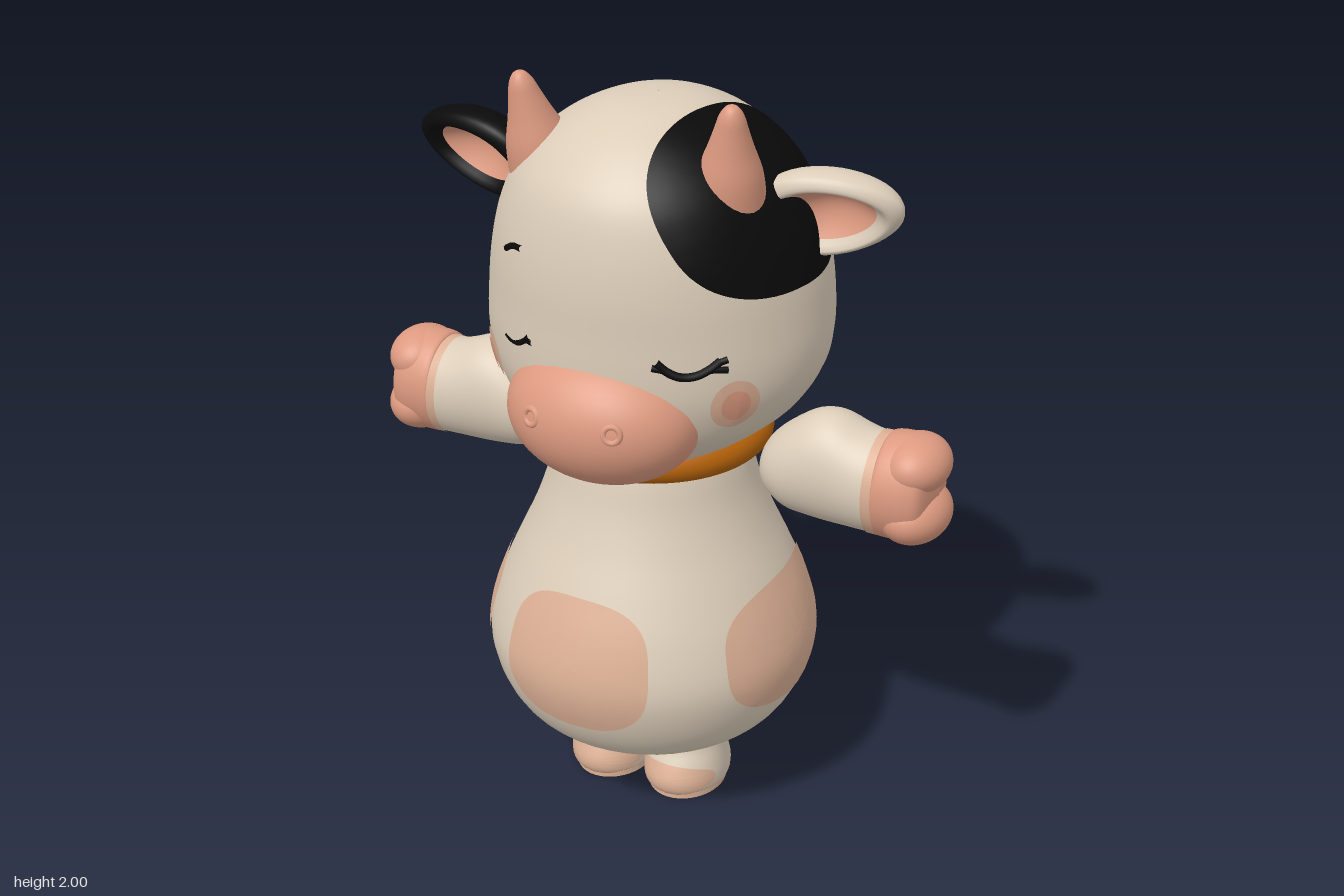
import * as THREE from 'three';

const mat = (name, color) => Object.assign(new THREE.MeshStandardMaterial({ color }), { name });
const V = (x, y, z) => new THREE.Vector3(x, y, z);
const HEAD_X = 0.037;

// Smooth tube of elliptical sections; each row is [y, centreX, radiusX, centreZ, radiusZ]
function loft(rows, sub = 4, seg = 48) {
  const pos = [], idx = [], n = (rows.length - 1) * sub;
  const at = i => rows[Math.min(rows.length - 1, Math.max(0, i))];
  for (let s = 0; s <= n; s++) {
    const i = Math.min(Math.floor(s / sub), rows.length - 2), t = s / sub - i;
    const [y, cx, rx, cz, rz] = rows[0].map((_, k) => {
      const a = at(i - 1)[k], b = at(i)[k], c = at(i + 1)[k], d = at(i + 2)[k];
      return b + 0.5 * t * (c - a + t * (2 * a - 5 * b + 4 * c - d + t * (3 * (b - c) + d - a)));
    });
    for (let j = 0; j < seg; j++) {
      const a = (j / seg) * Math.PI * 2;
      pos.push(cx + rx * Math.cos(a), y, cz + rz * Math.sin(a));
      if (s < n) {
        const p = s * seg + j, q = s * seg + ((j + 1) % seg);
        idx.push(p, p + seg, q, q, p + seg, q + seg);
      }
    }
  }
  return finish(pos, idx);
}

function finish(pos, idx) {
  const g = new THREE.BufferGeometry();
  g.setAttribute('position', new THREE.Float32BufferAttribute(pos, 3));
  g.setIndex(idx);
  g.computeVertexNormals();
  return g;
}

// Mirrored copy across the plane x = cx
function mirror(geo, cx = 0) {
  const g = geo.clone().translate(-cx, 0, 0).scale(-1, 1, 1).translate(cx, 0, 0);
  const ix = g.index.array;
  for (let i = 0; i < ix.length; i += 3) [ix[i], ix[i + 1]] = [ix[i + 1], ix[i]];
  g.computeVertexNormals();
  return g;
}

function ball(x, y, z, rx, ry, rz) {
  return new THREE.SphereGeometry(1, 40, 28).scale(rx, ry, rz).translate(x, y, z);
}

const ray = new THREE.Raycaster();
function hit(mesh, origin, dir) {
  ray.set(origin, dir);
  const h = ray.intersectObject(mesh)[0];
  return h ? { p: h.point, n: h.face.normal } : null;
}

// Thin painted patch wrapped on a mesh; outline(t) gives angles around direction d from centre c
function decal(mesh, c, d, outline, lift = 0.005, rings = 9, seg = 56) {
  d = d.clone().normalize();
  const e1 = V(0, 1, 0).cross(d).normalize(), e2 = d.clone().cross(e1);
  const pos = [], idx = [];
  for (let k = 0; k <= rings; k++) for (let j = 0; j < seg; j++) {
    const [a0, b0] = outline(j / seg), a = a0 * k / rings, b = b0 * k / rings;
    const r = Math.hypot(a, b) || 1e-6;
    const dir = d.clone().multiplyScalar(Math.cos(r))
      .addScaledVector(e1, Math.sin(r) * a / r).addScaledVector(e2, Math.sin(r) * b / r);
    const h = hit(mesh, c.clone().addScaledVector(dir, 3), dir.clone().negate());
    const p = h ? h.p.addScaledVector(h.n, lift) : c;
    pos.push(p.x, p.y, p.z);
    if (k < rings) {
      const m = k * seg + j, q = k * seg + ((j + 1) % seg);
      idx.push(m, m + seg, q, q, m + seg, q + seg);
    }
  }
  return finish(pos, idx);
}

// Rounded outline: n = 2 is an ellipse, larger is squarer
const oval = (w, h, n = 2) => t => {
  const c = Math.cos(t * Math.PI * 2), s = Math.sin(t * Math.PI * 2);
  return [w * Math.sign(c) * Math.abs(c) ** (2 / n), h * Math.sign(s) * Math.abs(s) ** (2 / n)];
};

export function createModel() {
  const model = new THREE.Group();
  model.name = 'cow';
  const cream = mat('cream', 0xdccdb9), pink = mat('pink', 0xdd9a80), blush = mat('blush', 0xdcb095);
  const black = mat('black', 0x0a0a0a), grey = mat('darkGrey', 0x3a3a3a), amber = mat('amber', 0xb4620a);
  const add = (name, geo, material) => {
    const m = new THREE.Mesh(geo, material);
    m.name = name;
    model.add(m);
    return m;
  };
  const pair = (name, geo, material, cx = 0) => {
    add(name + 'Left', geo, material);
    add(name + 'Right', mirror(geo, cx), material);
  };

  // Pear-shaped body
  const body = add('body', loft([
    [0.205, 0.001], [0.208, 0.15], [0.222, 0.28], [0.26, 0.345], [0.33, 0.395], [0.42, 0.425], [0.5, 0.427],
    [0.6, 0.4], [0.7, 0.358], [0.8, 0.312], [0.9, 0.275], [1, 0.25], [1.08, 0.22], [1.14, 0.19],
  ].map(([y, r]) => [y, 0, r, 0.06, r + 0.003])), cream);
  const belly = V(0, 0.54, 0.06);
  add('bellySpot', decal(body, belly, V(-0.05, 0, 1), oval(0.5, 0.42, 2.8)), blush);
  pair('sideSpot', decal(body, belly, V(1, 0, -0.06), oval(0.7, 0.4, 2.8)), blush);
  const blob = new THREE.CatmullRomCurve3([
    [-1, 0.36], [-0.65, 0.55], [-0.22, 0.5], [0, 0.35], [0.24, 0.48], [0.64, 0.53], [0.98, 0.32], [0.88, 0.04],
    [0.9, -0.22], [0.58, -0.42], [0.3, -0.28], [0.1, -0.42], [-0.22, -0.5], [-0.6, -0.4], [-0.68, -0.08], [-0.95, 0.08],
  ].map(([a, b]) => V(a, b, 0)).reverse(), true);
  const blobAt = t => { const p = blob.getPoint(t); return [p.x, p.y]; };
  add('backPatch', decal(body, V(0, 0.77, 0.06), V(-0.6, 0, -0.8), blobAt, 0.005, 12, 96), black);
  add('backDot', decal(body, V(0, 0.57, 0.06), V(0.07, 0, -0.4), oval(0.04, 0.04), 0.005, 2, 20), grey);
  add('underPlate', new THREE.CylinderGeometry(1, 1, 0.025, 32).scale(0.085, 1, 0.14).translate(0, 0.2, 0.055), grey);

  // Tail and collar
  add('tail', new THREE.CapsuleGeometry(0.068, 0.22, 10, 28).rotateX(-Math.PI / 2)
    .translate(-0.065, 0.513, -0.397), cream);
  add('collar', new THREE.TorusGeometry(0.268, 0.043, 20, 64).rotateX(Math.PI / 2).translate(0, 1.05, 0.06), amber);

  // Legs with blush soles and toes
  const legGeo = loft([
    [0.008, 0.001, 0.001], [0.009, 0.07, 0.09], [0.018, 0.104, 0.127], [0.05, 0.111, 0.135], [0.09, 0.108, 0.12],
    [0.14, 0.102, 0.096], [0.2, 0.1, 0.098], [0.28, 0.1, 0.1],
  ].map(([y, rx, rz]) => [y, 0.111, rx, 0.07, rz]));
  const leg = new THREE.Mesh(legGeo);
  pair('leg', legGeo, cream);
  pair('sole', new THREE.CylinderGeometry(1, 1, 0.014, 40).scale(0.1, 1, 0.122).translate(0.111, 0.007, 0.07), blush);
  pair('toe', decal(leg, V(0.111, 0.06, 0.07), V(0, 0, 1), oval(1.15, 0.32, 2.6), 0.003), blush);
  pair('heel', decal(leg, V(0.111, 0.045, 0.07), V(0, 0, -1), oval(0.95, 0.24, 2.4), 0.003), blush);

  // Arms held out sideways, rows run along x as [x, top, bottom, halfDepth]
  const sideways = new THREE.Matrix4().set(0, 1, 0, 0, 0, 0, 1, 0, 1, 0, 0, 0, 0, 0, 0, 1);
  const limb = rows => loft(rows.map(([x, t, b, d]) => [x, 0.024, d, (t + b) / 2, (t - b) / 2])).applyMatrix4(sideways);
  const armGeo = limb([
    [0.3, 0.991, 0.989, 0.001], [0.304, 1.03, 0.95, 0.04], [0.33, 1.075, 0.915, 0.08], [0.38, 1.12, 0.882, 0.105],
    [0.44, 1.158, 0.872, 0.113], [0.5, 1.166, 0.868, 0.115], [0.56, 1.145, 0.868, 0.116], [0.6, 1.134, 0.868, 0.117],
    [0.66, 1.13, 0.868, 0.117],
  ]);
  const arm = new THREE.Mesh(armGeo);
  pair('arm', armGeo, cream);
  pair('cuff', limb([[0.61, 1.135, 0.865, 0.12], [0.645, 1.135, 0.865, 0.12]]), blush);
  pair('hand', limb([
    [0.634, 1.12, 0.875, 0.11], [0.637, 1.14, 0.865, 0.121], [0.68, 1.147, 0.864, 0.121],
    [0.72, 1.142, 0.868, 0.116], [0.755, 1.11, 0.9, 0.09], [0.77, 1.01, 1, 0.001],
  ]), pink);
  pair('upperFinger', ball(0.71, 1.075, 0.026, 0.084, 0.073, 0.106), pink);
  pair('lowerFinger', ball(0.71, 0.942, 0.024, 0.09, 0.077, 0.118), pink);
  pair('armSpot', decal(arm, V(0.545, 1, 0.024), V(0, -1, 0.02), oval(0.68, 0.43), 0.004), grey);

  // Large round head
  const head = add('head', loft([
    [1.05, 0.001, 0.15, 0.001], [1.053, 0.1, 0.15, 0.15], [1.07, 0.19, 0.13, 0.23], [1.1, 0.26, 0.11, 0.285],
    [1.15, 0.327, 0.1, 0.342], [1.2, 0.376, 0.095, 0.37], [1.28, 0.42, 0.088, 0.395], [1.36, 0.435, 0.083, 0.405],
    [1.45, 0.432, 0.08, 0.408], [1.55, 0.42, 0.082, 0.406], [1.65, 0.397, 0.087, 0.39], [1.75, 0.352, 0.095, 0.356],
    [1.82, 0.297, 0.1, 0.305], [1.88, 0.22, 0.1, 0.235], [1.92, 0.137, 0.1, 0.15], [1.936, 0.07, 0.1, 0.075],
    [1.94, 0.001, 0.1, 0.001],
  ].map(([y, rx, cz, rz]) => [y, HEAD_X, rx, cz, rz])), cream);
  const core = V(HEAD_X, 1.5, 0.08);
  add('leftHeadPatch', decal(head, core, V(0.76, 0.63, 0.17), oval(0.74, 0.58, 2.3), 0.005, 14, 80), black);
  add('rightHeadPatch', decal(head, core, V(-0.36, 0.23, 0), oval(0.36, 0.3), 0.005), black);

  // Muzzle and nostrils
  const muzzle = add('muzzle', ball(HEAD_X, 1.222, 0.38, 0.25, 0.176, 0.19), pink);
  const nose = hit(muzzle, V(HEAD_X + 0.108, 1.25, 2), V(0, 0, -1)).p;
  pair('nostril', new THREE.TorusGeometry(0.02, 0.008, 10, 24).rotateX(-0.15).rotateY(0.3)
    .translate(nose.x, nose.y, nose.z - 0.003), pink, HEAD_X);

  // Cheeks
  const cheekDir = V(0.333, -0.215, 0.262);
  pair('cheek', decal(head, core, cheekDir, oval(0.135, 0.14), 0.004, 5, 36), blush, HEAD_X);
  pair('cheekCentre', decal(head, core, cheekDir, oval(0.08, 0.085), 0.007, 4, 36), pink, HEAD_X);

  // Closed eyes, lashes and one brow drawn as fine strokes on the face
  const stroke = (pts, r) => new THREE.TubeGeometry(new THREE.CatmullRomCurve3(
    pts.map(([x, y]) => hit(head, V(x, y, 2), V(0, 0, -1)).p)), 20, r, 8);
  const ex = 0.277;
  pair('eyelid', stroke([-0.064, -0.045, -0.02, 0, 0.02, 0.045, 0.064]
    .map(d => [ex + d, 1.375 + 9 * d * d]), 0.011), black, 0.046);
  [[0.045, 1.39, 0.077, 1.386], [0.056, 1.405, 0.076, 1.412], [-0.045, 1.392, -0.073, 1.398]]
    .forEach(([a, b, c, d], i) => pair('lash' + i, stroke([[ex + a, b], [ex + c, d]], 0.009), black, 0.046));
  add('brow', stroke([[-0.212, 1.602], [-0.185, 1.618], [-0.15, 1.623]], 0.008), black);

  // Horns
  const hornProfile = [[0.09, -0.05], [0.085, 0], [0.075, 0.06], [0.055, 0.12], [0.04, 0.17], [0.03, 0.205],
    [0.016, 0.228], [0, 0.235]].map(p => new THREE.Vector2(...p));
  pair('horn', new THREE.LatheGeometry(new THREE.SplineCurve(hornProfile).getPoints(28), 32)
    .rotateX(0.24).rotateZ(-0.13).translate(HEAD_X + 0.25, 1.773, 0.222), pink, HEAD_X);

  // Cupped ears: back shell and inner hollow share one deformation
  const earPart = (start, length) => {
    const g = new THREE.SphereGeometry(1, 40, 24, 0, Math.PI * 2, start, length).rotateX(Math.PI / 2);
    const p = g.attributes.position;
    for (let i = 0; i < p.count; i++) {
      const x = p.getX(i), y = p.getY(i), z = p.getZ(i);
      const dent = Math.max(0, 1 - (x * x + y * y) / 0.64);
      p.setXYZ(i, x, y * (1 - 0.2 * x), z > 0 ? z * 0.5 - dent : z);
    }
    g.scale(0.185, 0.125, 0.1).rotateX(0.45).rotateZ(0.17).rotateY(0.15).translate(0.477, 1.7, 0.085);
    g.computeVertexNormals();
    return g;
  };
  const shell = earPart(Math.PI * 0.22, Math.PI * 0.78), hollow = earPart(0, Math.PI * 0.22);
  add('earLeft', shell, cream);
  add('earRight', mirror(shell), black);
  pair('earInner', hollow, pink);

  // Cord and bobble at the back of the head
  add('cord', new THREE.TubeGeometry(new THREE.CatmullRomCurve3([
    V(HEAD_X, 1.61, -0.29), V(HEAD_X, 1.56, -0.335), V(HEAD_X, 1.45, -0.352), V(HEAD_X, 1.36, -0.353),
    V(HEAD_X, 1.25, -0.325)]), 28, 0.01, 10), cream);
  add('bobble', ball(HEAD_X, 1.212, -0.337, 0.072, 0.068, 0.07), pink);
  add('bobbleTop', ball(HEAD_X, 1.245, -0.3, 0.045, 0.038, 0.045), pink);

  return model;
}
